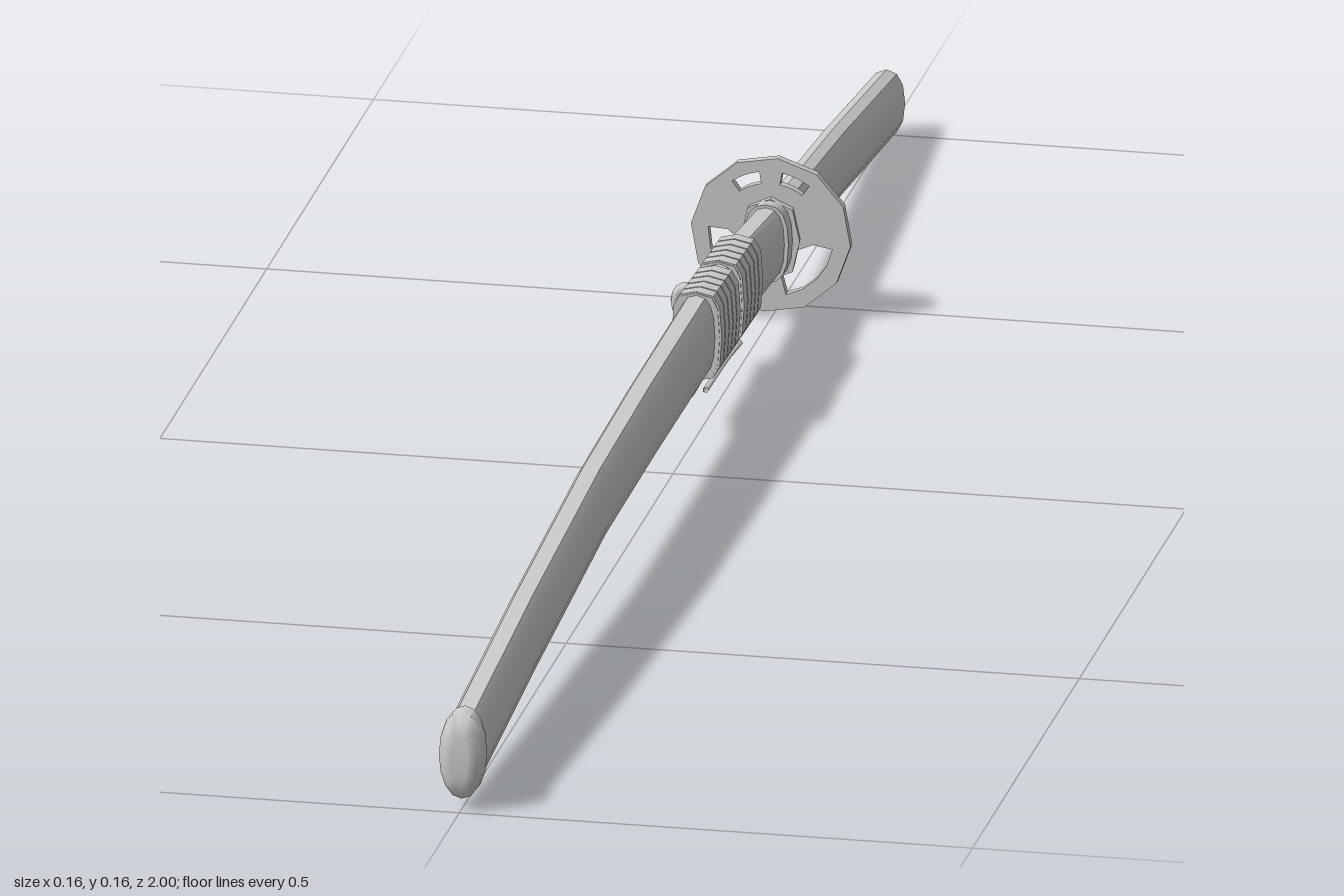
import * as THREE from 'three';
import { toCreasedNormals } from 'three/addons/utils/BufferGeometryUtils.js';

const material = new THREE.MeshStandardMaterial({ color: 0xcccccc, side: THREE.DoubleSide });

// Loft of rounded cross-sections [z, bottom, top, halfWidth], z ascending, closed at both ends.
function loft(sections, { sides = 16, power = 0.8, crease = 0.6 } = {}) {
  const pos = [], index = [];
  for (const [z, y0, y1, hw] of sections) {
    for (let j = 0; j < sides; j++) {
      const a = (j / sides) * Math.PI * 2, c = Math.cos(a), s = Math.sin(a);
      pos.push(Math.sign(c) * Math.abs(c) ** power * hw,
        (y0 + y1) / 2 + Math.sign(s) * Math.abs(s) ** power * (y1 - y0) / 2, z);
    }
  }
  const last = (sections.length - 1) * sides;
  for (let k = 0; k < last; k += sides) {
    for (let j = 0; j < sides; j++) {
      const n = (j + 1) % sides;
      index.push(k + j, k + n, k + sides + n, k + j, k + sides + n, k + sides + j);
    }
  }
  for (let j = 1; j < sides - 1; j++) {
    index.push(0, j + 1, j, last, last + j, last + j + 1);
  }
  const g = new THREE.BufferGeometry();
  g.setAttribute('position', new THREE.Float32BufferAttribute(pos, 3));
  g.setIndex(index);
  return toCreasedNormals(g, crease);
}

// Curve of the sheath: [z, bottom, top]
const spine = [[-0.46, 0.048, 0.12], [-0.3, 0.058, 0.138], [-0.1, 0.063, 0.146],
  [0.15, 0.065, 0.146], [0.38, 0.064, 0.142], [0.7, 0.041, 0.122], [1, 0.016, 0.097]];

function spineAt(z) {
  let i = 0;
  while (i < spine.length - 2 && z > spine[i + 1][0]) i++;
  const [a, b] = [spine[i], spine[i + 1]], t = (z - a[0]) / (b[0] - a[0]);
  return [a[1] + (b[1] - a[1]) * t, a[2] + (b[2] - a[2]) * t];
}

// Sleeve that hugs the sheath between two z values
function sleeve(z0, z1, grow, hw, options) {
  return loft([z0, (z0 + z1) / 2, z1].map(z => {
    const [b, t] = spineAt(z);
    return [z, b - grow, t + grow, hw];
  }), options);
}

// Guard: twelve-sided plate pierced by curved windows [startDeg, endDeg, inner, outer]
function guardGeometry() {
  const polar = (deg, r) => new THREE.Vector2(
    Math.cos(deg * Math.PI / 180) * r, Math.sin(deg * Math.PI / 180) * r);
  const shape = new THREE.Shape(
    Array.from({ length: 12 }, (_, i) => polar(i * 30 - 5, 0.078)));
  const windows = [[176, 256, 0.03, 0.061], [284, 350, 0.03, 0.061],
    [54, 80, 0.052, 0.064], [100, 126, 0.052, 0.064]];
  for (const [a, b, r0, r1] of windows) {
    const outer = [], inner = [];
    for (let i = 0; i <= 4; i++) {
      const d = a + (b - a) * i / 4;
      outer.push(polar(d, r1));
      inner.unshift(polar(d, r0 + (i === 0 || i === 4 ? 0.012 * (r0 < 0.04) : 0)));
    }
    shape.holes.push(new THREE.Path([...outer, ...inner]));
  }
  return new THREE.ExtrudeGeometry(shape, { depth: 0.009, bevelEnabled: false });
}

export function createModel() {
  const group = new THREE.Group();
  const add = (name, geometry) => {
    const mesh = new THREE.Mesh(geometry, material);
    mesh.name = name;
    group.add(mesh);
    return mesh;
  };

  // Sheath body with its domed end cap
  add('sheath', loft(spine.map(([z, b, t]) => [Math.min(z, 0.985), b, t, 0.018])));
  add('sheathEndCap', loft([[0.972, 0.016, 0.102, 0.021], [0.98, 0.014, 0.102, 0.023],
    [0.99, 0.014, 0.101, 0.022], [0.997, 0.022, 0.092, 0.016], [1, 0.035, 0.078, 0.008]],
  { power: 0.95, crease: 0.9 }));
  add('sheathMouth', sleeve(-0.458, -0.435, 0.003, 0.022));

  // Handle with flat faceted sides
  add('handle', loft([[-1, 0.003, 0.069, 0.018], [-0.75, 0.027, 0.095, 0.018],
    [-0.47, 0.05, 0.117, 0.018]], { sides: 12, power: 0.85, crease: 0.5 }));
  add('handleCollar', loft([[-0.5, 0.046, 0.118, 0.021], [-0.47, 0.046, 0.121, 0.022]],
    { sides: 12 }));

  // Guard and the washer plates either side of it
  add('guard', guardGeometry()).position.set(-0.001, 0.086, -0.471);
  add('guardWasher', loft([[-0.477, 0.043, 0.125, 0.026], [-0.454, 0.043, 0.125, 0.029]],
    { sides: 8, crease: 0.4 }));

  // Two cord wraps, each made of parallel turns
  for (const start of [-0.305, -0.2]) {
    add('cordWrapBase', sleeve(start, start + 0.09, 0.002, 0.0225, { sides: 12, power: 0.6 }));
    for (let i = 0; i < 5; i++) {
      const z = start + i * 0.018;
      add('cordTurn', sleeve(z + 0.001, z + 0.017, 0.0035, 0.0245, { sides: 12, power: 0.6 }));
    }
  }

  // Loose cord strands lying under the sheath
  for (const [x, z0, z1] of [[-0.011, -0.31, -0.13], [0, -0.29, -0.085], [0.011, -0.26, -0.1]]) {
    const path = new THREE.CatmullRomCurve3([new THREE.Vector3(x, 0.047, z0),
      new THREE.Vector3(x * 1.2, 0.056, (z0 + z1) / 2), new THREE.Vector3(x, 0.054, z1)]);
    add('cordStrand', new THREE.TubeGeometry(path, 8, 0.003, 5));
  }

  // Cord knob on the right side, with a loop hole
  const knob = add('cordKnob', new THREE.TorusGeometry(0.014, 0.006, 8, 14));
  knob.position.set(-0.029, 0.105, -0.205);
  knob.scale.set(0.8, 1, 1.2);
  return group;
}
